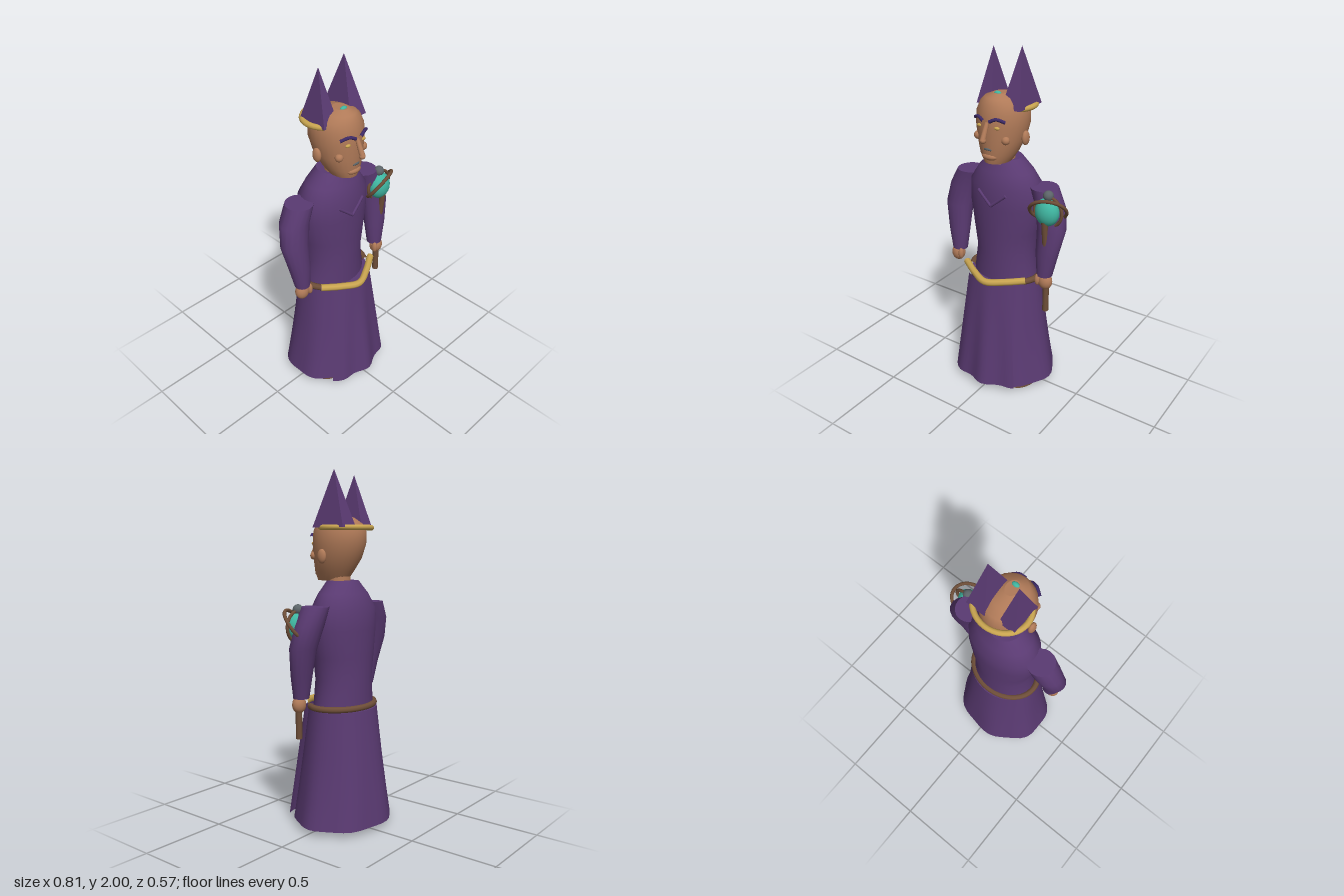
import * as THREE from 'three';

const mat = (name, color) => {
  const m = new THREE.MeshStandardMaterial({ color });
  m.name = name;
  return m;
};

export function createModel() {
  const robe = mat('purple robe', 0x5a3a72);
  const spike = mat('purple crown', 0x5a3a72);
  spike.flatShading = true;
  const sheet = mat('purple panel', 0x5a3a72);
  sheet.side = THREE.DoubleSide;
  const skin = mat('skin', 0xb07a58);
  const gold = mat('gold', 0xc9a550);
  const brown = mat('brown leather and wood', 0x6e4e38);
  const teal = mat('teal gem', 0x3fb5a0);
  const grey = mat('grey metal', 0x5c6468);
  const dark = mat('dark violet', 0x3d2a66);

  const model = new THREE.Group();
  model.name = 'robedFigure';
  const CX = -0.01; // the body's own centre line
  const V = (x, y, z) => new THREE.Vector3(x, y, z);

  const add = (name, geo, material, pos = [0, 0, 0], scale = [1, 1, 1]) => {
    const m = new THREE.Mesh(geo, material);
    m.name = name;
    m.position.set(...pos);
    m.scale.set(...scale);
    model.add(m);
    return m;
  };
  const ball = (name, material, pos, radii) =>
    add(name, new THREE.SphereGeometry(1, 20, 14), material, pos, radii);
  const tube = (name, material, pts, r, seg = 24) =>
    add(name, new THREE.TubeGeometry(new THREE.CatmullRomCurve3(pts.map(p => V(...p))), seg, r, 8), material);
  const rod = (name, material, a, b, r0, r1) => {
    const A = V(...a), B = V(...b), d = B.clone().sub(A);
    const m = add(name, new THREE.CylinderGeometry(r1, r0, d.length(), 10), material);
    m.position.copy(A).add(B).multiplyScalar(0.5);
    m.quaternion.setFromUnitVectors(V(0, 1, 0), d.normalize());
    return m;
  };

  // Stack of ellipses [y, cx, cz, rx, rz, ripple], listed upwards, with flat caps
  const loft = (sections, n = 28) => {
    const pos = [], index = [];
    const ring = ([y, cx, cz, rx, rz, ripple = 0]) => {
      for (let i = 0; i < n; i++) {
        const a = (i / n) * Math.PI * 2, k = 1 + ripple * Math.cos(a * 7);
        pos.push(cx + rx * k * Math.cos(a), y, cz + rz * k * Math.sin(a));
      }
    };
    sections.forEach(ring);
    for (let j = 0; j < sections.length - 1; j++) {
      for (let i = 0; i < n; i++) {
        const a = j * n + i, b = j * n + ((i + 1) % n);
        index.push(a, a + n, b, b, a + n, b + n);
      }
    }
    [sections[0], sections[sections.length - 1]].forEach((s, top) => {
      const start = pos.length / 3;
      ring(s);
      const c = pos.length / 3;
      pos.push(s[1], s[0], s[2]);
      for (let i = 0; i < n; i++) {
        const a = start + i, b = start + ((i + 1) % n);
        top ? index.push(c, b, a) : index.push(c, a, b);
      }
    });
    const g = new THREE.BufferGeometry();
    g.setAttribute('position', new THREE.Float32BufferAttribute(pos, 3));
    g.setIndex(index);
    g.computeVertexNormals();
    return g;
  };

  // Robe: skirt, torso, front panel
  add('skirt', loft([
    [0.035, CX, -0.015, 0.305, 0.262, 0.025],
    [0.2, CX, -0.014, 0.275, 0.242, 0.02],
    [0.42, CX, -0.012, 0.243, 0.215, 0.01],
    [0.685, CX, -0.012, 0.215, 0.18]], 42), robe);
  add('torso', loft([
    [0.68, CX, -0.015, 0.2, 0.152], [0.85, CX, -0.015, 0.175, 0.15],
    [0.98, CX, -0.015, 0.198, 0.153], [1.13, CX, -0.015, 0.222, 0.156],
    [1.25, CX, -0.015, 0.217, 0.154], [1.33, CX, -0.012, 0.165, 0.122],
    [1.4, CX, -0.01, 0.092, 0.087]]), robe);
  const panel = new THREE.PlaneGeometry(1, 1, 16, 6);
  const p = panel.attributes.position;
  for (let i = 0; i < p.count; i++) {
    const u = p.getX(i) * 2, t = 0.5 - p.getY(i), lerp = THREE.MathUtils.lerp;
    const fold = t * 0.012 * Math.cos(u * 7 - 0.8);
    p.setXYZ(i, -0.015 + u * lerp(0.145, 0.215, t), lerp(0.69, 0.045, t),
      lerp(0.2, 0.277, t) - u * u * lerp(0.045, 0.07, t) + fold);
  }
  panel.computeVertexNormals();
  add('frontPanel', panel, sheet);
  for (const s of [-1, 1])
    rod('collarTrim', robe, [CX, 1.15, 0.142], [CX + s * 0.09, 1.225, 0.13], 0.009, 0.009);

  // Belt: gold in front, leather behind
  tube('goldBelt', gold, [[-0.215, 0.725, 0.1], [-0.11, 0.712, 0.165], [CX, 0.702, 0.205],
    [0.09, 0.712, 0.165], [0.195, 0.725, 0.1]], 0.02);
  const back = [];
  for (let i = 0; i <= 12; i++) {
    const a = -0.55 + (i / 12) * (Math.PI + 1.1);
    back.push([CX + 0.21 * Math.cos(a), 0.7, -0.005 - 0.165 * Math.sin(a)]);
  }
  tube('backBelt', brown, back, 0.018, 40);

  // Arms, hands, feet
  for (const s of [-1, 1]) {
    const x = d => CX + s * d;
    add('sleeve', loft([
      [0.77, x(0.295), 0.045, 0.045, 0.043], [0.9, x(0.302), 0.035, 0.066, 0.055],
      [1.05, x(0.313), 0.012, 0.084, 0.068], [1.17, x(0.288), -0.01, 0.088, 0.076],
      [1.27, x(0.245), -0.015, 0.078, 0.08]], 16), robe);
    ball('hand', skin, [x(0.305), 0.735, 0.052], [0.042, 0.048, 0.036]);
    ball('thumb', skin, [x(0.268), 0.745, 0.075], [0.016, 0.035, 0.018]);
    add('foot', loft([
      [0, x(0.157), 0.045, 0.088, 0.12], [0.05, x(0.157), 0.04, 0.085, 0.115]], 20), brown);
  }

  // Head and face
  add('neck', new THREE.CylinderGeometry(0.065, 0.07, 0.1, 16), skin, [CX, 1.41, 0.02]);
  add('head', loft([
    [1.4, CX, 0.062, 0.07, 0.092], [1.45, CX, 0.05, 0.1, 0.115],
    [1.52, CX, 0.028, 0.127, 0.138], [1.6, CX, 0.015, 0.142, 0.154],
    [1.67, CX, 0.012, 0.14, 0.152], [1.715, CX, 0.015, 0.12, 0.132],
    [1.745, CX, 0.03, 0.085, 0.1], [1.764, CX, 0.045, 0.035, 0.045]]), skin);
  for (const s of [-1, 1]) {
    const x = d => CX + s * d;
    tube('brow', dark, [[x(0.018), 1.638, 0.174], [x(0.055), 1.654, 0.164], [x(0.095), 1.638, 0.138]], 0.009, 10);
    ball('eye', gold, [x(0.054), 1.605, 0.155], [0.017, 0.009, 0.01]);
    ball('cheek', skin, [x(0.088), 1.537, 0.125], [0.023, 0.023, 0.022]);
    ball('ear', skin, [x(0.145), 1.535, 0.022], [0.018, 0.04, 0.028]);
  }
  rod('nose', skin, [CX, 1.63, 0.165], [CX, 1.54, 0.207], 0.012, 0.016);
  ball('noseTip', skin, [CX, 1.543, 0.203], [0.017, 0.017, 0.017]);
  tube('mouth', grey, [[-0.046, 1.478, 0.148], [CX, 1.484, 0.165], [0.026, 1.478, 0.148]], 0.007, 10);
  ball('chin', skin, [CX, 1.44, 0.142], [0.048, 0.022, 0.03]);

  // Crown: circlet, two pyramids and a gem
  const circlet = add('circlet', new THREE.TorusGeometry(1, 0.11, 10, 40), gold, [CX, 1.69, -0.032], [0.149, 0.134, 0.14]);
  circlet.rotation.x = Math.PI / 2;
  for (const [x, w, d, top] of [[-0.097, 0.098, 0.18, 1.98], [0.08, 0.114, 0.212, 2]]) {
    const g = new THREE.ConeGeometry(Math.SQRT1_2, 1, 4).rotateY(Math.PI / 4);
    add('crownSpike', g, spike, [x, (top + 1.69) / 2, -0.02], [w, top - 1.69, d]);
  }
  ball('crownGem', teal, [CX, 1.76, 0.068], [0.022, 0.014, 0.014]);

  // Staff: shaft, orb, rings and knob
  rod('staffShaft', brown, [0.3, 0.545, 0.05], [0.3, 0.8, 0.05], 0.018, 0.018);
  rod('staffNeck', brown, [0.3, 0.8, 0.05], [0.3, 1.12, 0.085], 0.016, 0.018);
  ball('orb', teal, [0.298, 1.163, 0.055], [0.07, 0.08, 0.058]);
  ball('knob', grey, [0.3, 1.255, 0.05], [0.029, 0.029, 0.029]);
  add('uprightRing', new THREE.TorusGeometry(0.085, 0.009, 8, 32), brown, [0.3, 1.165, 0.05]);
  const ring = add('tiltedRing', new THREE.TorusGeometry(0.1, 0.01, 8, 36), brown, [0.303, 1.17, 0.055]);
  ring.quaternion.setFromUnitVectors(V(0, 0, 1), V(0.35, -0.7, 0.85).normalize());

  return model;
}
